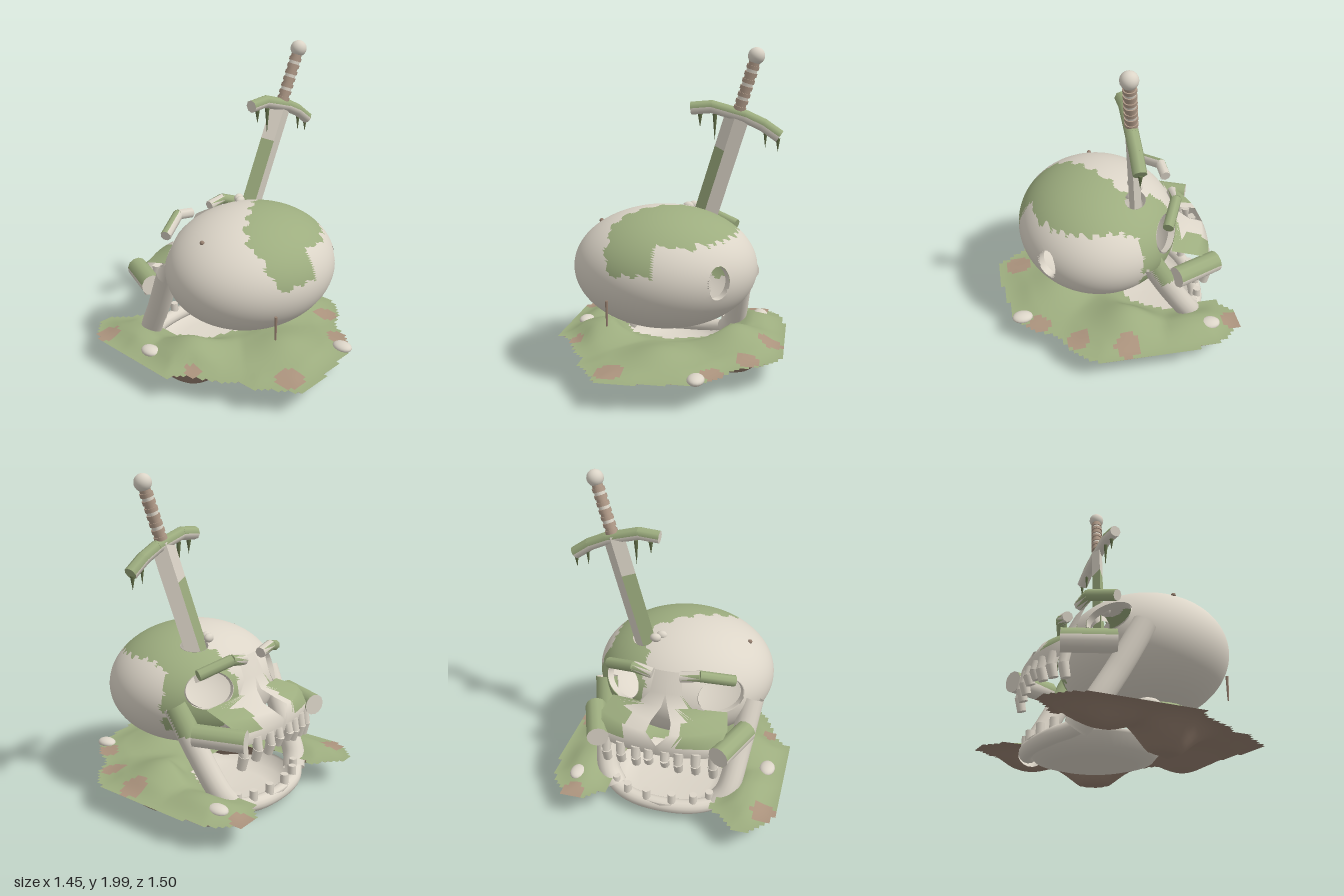
import * as THREE from 'three';
import { mergeGeometries } from 'three/addons/utils/BufferGeometryUtils.js';

const material = (name, color) => {
  const m = new THREE.MeshStandardMaterial({ color, side: THREE.DoubleSide });
  m.name = name;
  return m;
};
const V = (x, y, z) => new THREE.Vector3(x, y, z);

// Sorts triangles into material groups; pick(centroid, normal) gives an index, or -1 to drop the face
function paint(geo, pick) {
  const src = geo.index ? geo.toNonIndexed() : geo;
  const p = src.attributes.position, n = src.attributes.normal;
  const buckets = [];
  const c = V(), m = V(), t = V();
  for (let i = 0; i < p.count; i += 3) {
    c.set(0, 0, 0); m.set(0, 0, 0);
    for (let k = 0; k < 3; k++) {
      c.add(t.fromBufferAttribute(p, i + k));
      m.add(t.fromBufferAttribute(n, i + k));
    }
    const b = pick(c.divideScalar(3), m.normalize());
    if (b >= 0) (buckets[b] ??= []).push(i, i + 1, i + 2);
  }
  const out = new THREE.BufferGeometry(), pos = [], nor = [];
  buckets.forEach((list, b) => {
    out.addGroup(pos.length / 3, list.length, b);
    for (const i of list) {
      pos.push(p.getX(i), p.getY(i), p.getZ(i));
      nor.push(n.getX(i), n.getY(i), n.getZ(i));
    }
  });
  out.setAttribute('position', new THREE.Float32BufferAttribute(pos, 3));
  out.setAttribute('normal', new THREE.Float32BufferAttribute(nor, 3));
  return out;
}

// Chain of faceted cylinders through points
function bar(points, r, sides = 8, r2 = r) {
  return mergeGeometries(points.slice(1).map((b, i) => {
    const a = points[i], d = b.clone().sub(a), len = d.length();
    const g = new THREE.CylinderGeometry(r2, r, len + r * 0.3, sides);
    g.applyQuaternion(new THREE.Quaternion().setFromUnitVectors(V(0, 1, 0), d.normalize()));
    return g.translate(...a.clone().add(b).multiplyScalar(0.5).toArray());
  }));
}

function inside(poly, x, z) {
  let hit = false;
  for (let i = 0, j = poly.length - 1; i < poly.length; j = i++) {
    const [ax, az] = poly[i], [bx, bz] = poly[j];
    if ((az > z) !== (bz > z) && x < ((bx - ax) * (z - az)) / (bz - az) + ax) hit = !hit;
  }
  return hit;
}
function edgeDistance(poly, x, z) {
  return Math.min(...poly.map(([ax, az], i) => {
    const [bx, bz] = poly[(i + 1) % poly.length], dx = bx - ax, dz = bz - az;
    const t = THREE.MathUtils.clamp(((x - ax) * dx + (z - az) * dz) / (dx * dx + dz * dz), 0, 1);
    return Math.hypot(x - ax - t * dx, z - az - t * dz);
  }));
}

export function createModel() {
  const model = new THREE.Group();
  const bone = material('bone', 0xdcd5c8), moss = material('moss', 0x9dad7f);
  const soil = material('soil', 0x968070), clay = material('clay', 0xab937d);
  const leather = material('leather', 0xb09a88), vine = material('dark moss', 0x64714a);
  const add = (name, geo, mat, parent = model) => {
    const m = new THREE.Mesh(geo, mat);
    m.name = name;
    parent.add(m);
    return m;
  };
  const ball = (name, p, s, mat) => add(name, new THREE.SphereGeometry(1, 16, 12).scale(...s).translate(...p), mat);

  // Cranium: hollow ellipsoid with eye sockets, a temple hole and a sword hole
  const C = V(-0.01, 0.685, 0.095), R = V(0.562, 0.372, 0.5);
  const onSkull = (p) => {
    const d = p.clone().sub(C).divide(R).normalize();
    return d.multiply(R).add(C);
  };
  const holes = [
    [V(0.275, 0.765, -0.25), 0.15, 0.11], [V(-0.285, 0.765, -0.25), 0.15, 0.11],
    [V(0.365, 0.685, 0.46), 0.07, 0.1], [V(0.23, 1.0, -0.11), 0.085, 0.06],
  ].map(([p, ru, rv]) => {
    const c = onSkull(p), n = c.clone().sub(C).divide(R).divide(R).normalize();
    const u = V(0, 1, 0).cross(n).normalize();
    return { c, n, u, v: n.clone().cross(u), ru, rv };
  });
  const measure = (h, p) => {
    const w = p.clone().sub(h.c), a = w.dot(h.u), b = w.dot(h.v);
    return { a, b, d: w.dot(h.n) < -0.25 ? 9 : Math.hypot(a / h.ru, b / h.rv) };
  };
  const skull = new THREE.SphereGeometry(1, 128, 88).scale(R.x, R.y, R.z).translate(C.x, C.y, C.z);
  const sp = skull.attributes.position;
  for (let i = 0; i < sp.count; i++) {
    let p = V().fromBufferAttribute(sp, i);
    for (const h of holes) {
      const { a, b, d } = measure(h, p);
      if (d > 0.85 && d < 1.15) {
        p.addScaledVector(h.u, a * (1 / d - 1)).addScaledVector(h.v, b * (1 / d - 1));
        p = onSkull(p);
      }
    }
    sp.setXYZ(i, p.x, p.y, p.z);
  }
  const mossArea = [[0.14, -0.42], [0.18, -0.05], [0.13, 0.01], [-0.05, 0.13], [-0.25, 0.25], [-0.3, 0.38],
    [-0.25, 0.62], [0.2, 0.62], [0.42, 0.25], [0.42, 0.02], [0.52, -0.14], [0.48, -0.42]];
  add('cranium', paint(skull, (c) => {
    if (holes.some((h) => measure(h, c).d < 0.99)) return -1;
    const j = 0.012 * Math.sin(c.x * 60 + c.y * 45) + 0.01 * Math.sin(c.z * 83);
    const low = c.z < -0.08 ? 0.52 : c.x < 0 ? 0.73 : 0.885;
    return c.y + j > low && inside(mossArea, c.x + j, c.z + j) ? 1 : 0;
  }), [bone, moss]);

  // Bone thickness around each hole
  for (const h of holes) {
    const pos = [], idx = [], N = 40;
    for (let i = 0; i <= N; i++) {
      const t = (i / N) * Math.PI * 2;
      const p = onSkull(h.c.clone().addScaledVector(h.u, h.ru * Math.cos(t)).addScaledVector(h.v, h.rv * Math.sin(t)));
      pos.push(...p.toArray(), ...p.addScaledVector(h.n, -0.045).toArray());
      if (i < N) idx.push(2 * i, 2 * i + 1, 2 * i + 2, 2 * i + 1, 2 * i + 3, 2 * i + 2);
    }
    const rim = new THREE.BufferGeometry();
    rim.setAttribute('position', new THREE.Float32BufferAttribute(pos, 3));
    rim.setIndex(idx);
    rim.computeVertexNormals();
    add('holeRim', rim, bone);
  }

  // Upper jaw and nose bridge: rows of y, z, inner x, outer x, backward curve; the inner gap is the nose
  const rows = [[0.92, -0.33, 0, 0.08, 1], [0.8, -0.39, 0, 0.1, 1], [0.72, -0.42, 0.02, 0.16, 1.2],
    [0.67, -0.5, 0.06, 0.36, 1.5], [0.645, -0.58, 0.07, 0.39, 0.9], [0.58, -0.61, 0, 0.36, 0.5], [0.5, -0.595, 0, 0.32, 0.5]];
  for (const s of [-1, 1]) {
    const pos = [], idx = [], N = 16;
    rows.forEach(([y, z, a, b, k], r) => {
      for (let i = 0; i <= N; i++) {
        const x = a + ((b - a) * i) / N;
        pos.push(s * x, y, z + k * x * x);
        const q = r * (N + 1) + i;
        if (r && i) idx.push(q, q - 1, q - N - 2, q, q - N - 2, q - N - 1);
      }
    });
    if (s > 0) idx.reverse();
    const g = new THREE.BufferGeometry();
    g.setAttribute('position', new THREE.Float32BufferAttribute(pos, 3));
    g.setIndex(idx);
    g.computeVertexNormals();
    add('upperJaw', paint(g, (c) => ((c.x < -0.12 || c.x > 0.21) && c.y > 0.57 ? 1 : 0)), [bone, moss]);

    // Brow and cheekbone
    const brow = bar([V(s * 0.09, 0.92, -0.365), V(s * 0.2, 0.94, -0.36), V(s * 0.385, 0.88, -0.27)], 0.034);
    add('brow', paint(brow, (c, n) => (Math.abs(c.x) > 0.16 && (s > 0 || n.z < 0.3) ? 1 : 0)), [bone, moss]);
    const cheek = bar([V(s * 0.37, 0.555, -0.58), V(s * 0.475, 0.56, -0.32)], 0.066, 12);
    add('cheekbone', paint(cheek, (c, n) => (n.y > 0.1 ? 1 : 0)), [bone, moss]);

    // Upper teeth
    for (const [x, len] of [[0.33, 0.13], [0.23, 0.1], [0.13, 0.09], [0.05, 0.06]]) {
      const z = -0.59 + 0.5 * x * x;
      add('upperTooth', bar([V(s * x, 0.53, z), V(s * x, 0.52 - len * 0.6, z - 0.015), V(s * x, 0.5 - len, z)], 0.032, 8, 0.028), bone);
    }

    // Jaw branch from temple to chin, mossy near the left temple
    const branch = new THREE.CatmullRomCurve3([V(s * 0.47 - 0.015, 0.69, -0.15), V(s * 0.43 - 0.015, 0.42, -0.29),
      V(s * 0.385 - 0.015, 0.18, -0.43), V(s * 0.33 - 0.015, 0.1, -0.47)]);
    add('jawBranch', paint(new THREE.TubeGeometry(branch, 40, 0.07, 16), (c, n) => (c.x > 0 && c.y > 0.53 && n.z < 0.1 ? 1 : 0)), [bone, moss]);

    // Lower teeth
    for (const [x, z] of [[0.3, -0.49], [0.21, -0.54], [0.08, -0.565]]) {
      add('lowerTooth', bar([V(s * x, 0.09, z), V(s * x, 0.18, z)], 0.028, 8, 0.025), bone);
    }
  }

  // Chin arc and the shallow jaw floor
  const chin = new THREE.CatmullRomCurve3([[0.39, 0.17, -0.41], [0.33, 0.11, -0.475], [0.2, 0.09, -0.54], [0, 0.085, -0.565],
    [-0.2, 0.09, -0.54], [-0.33, 0.11, -0.475], [-0.39, 0.17, -0.41]].map(([x, y, z]) => V(x - 0.015, y, z)));
  add('chin', new THREE.TubeGeometry(chin, 48, 0.045, 14), bone);
  const bowl = [[0, 0.005], [0.24, 0.01], [0.33, 0.035], [0.385, 0.1], [0.38, 0.12]].map(([x, y]) => new THREE.Vector2(x, y));
  add('jawFloor', new THREE.LatheGeometry(bowl, 48).translate(-0.015, 0, -0.22), bone);

  // Ground: thin-edged lumpy sod with a stepped outline and an opening around the jaw
  const outline = [[-0.71, -0.6], [-0.6, -0.74], [-0.48, -0.74], [-0.33, -0.6], [-0.36, -0.3], [-0.25, -0.08], [0, 0],
    [0.23, -0.08], [0.35, -0.3], [0.32, -0.62], [0.45, -0.72], [0.57, -0.72], [0.7, -0.55], [0.73, -0.2], [0.73, 0.2],
    [0.6, 0.36], [0.46, 0.42], [0.35, 0.62], [0.2, 0.7], [0, 0.72], [-0.1, 0.745], [-0.3, 0.745], [-0.38, 0.6],
    [-0.46, 0.52], [-0.46, 0.42], [-0.55, 0.3], [-0.62, 0.15], [-0.73, 0.05], [-0.73, -0.35], [-0.71, -0.42]];
  const lumps = [[-0.41, -0.02, 1], [0.41, -0.02, 1], [0, 0.36, 0.62], [-0.5, -0.4, 0.45], [0.5, -0.4, 0.45]];
  const lump = (x, z, gain) => Math.min(1, gain * Math.max(...lumps.map(([a, b, k]) => k * Math.exp(-((x - a) ** 2 + (z - b) ** 2) / 0.04))));
  const spots = [[-0.65, -0.58, 0.075], [0.52, -0.68, 0.065], [0.64, 0.02, 0.075], [0.52, 0.3, 0.07],
    [0.35, 0.54, 0.075], [-0.24, 0.62, 0.085], [-0.58, 0.14, 0.05]];
  const cell = 1.5 / 56, snap = (v) => (Math.floor(v / cell) + 0.5) * cell;
  for (const top of [true, false]) {
    const g = new THREE.PlaneGeometry(1.5, 1.5, 56, 56).rotateX(top ? -Math.PI / 2 : Math.PI / 2);
    const p = g.attributes.position;
    for (let i = 0; i < p.count; i++) {
      const x = p.getX(i), z = p.getZ(i);
      const e = inside(outline, x, z) ? THREE.MathUtils.smoothstep(edgeDistance(outline, x, z), 0, 0.16) : 0;
      p.setY(i, 0.17 + e * (top ? 0.015 + 0.095 * lump(x, z, 1) : -0.025 - 0.145 * lump(x, z, 1.25)));
    }
    g.computeVertexNormals();
    add(top ? 'mossyGround' : 'groundUnderside', paint(g, (c) => {
      const x = snap(c.x), z = snap(c.z);
      if (!inside(outline, x, z)) return -1;
      return top && spots.some(([a, b, r]) => Math.hypot(x - a, z - b) < r) ? 1 : 0;
    }), [top ? moss : soil, clay]);
  }
  for (const [x, y, z] of [[-0.61, 0.195, -0.2], [0.54, 0.195, -0.53], [0.26, 0.18, 0.63]]) ball('stone', [x, y, z], [0.05, 0.03, 0.066], bone);

  // Sword, built along its own y axis with the guard at the origin
  const sword = new THREE.Group();
  sword.name = 'sword';
  const axis = V(0.3, 0.95, 0.11).normalize(), flat = V(0.97, 0, 0.24).normalize();
  flat.addScaledVector(axis, -flat.dot(axis)).normalize();
  sword.matrix.makeBasis(flat, axis, flat.clone().cross(axis)).setPosition(0.41, 1.61, -0.03);
  sword.matrix.decompose(sword.position, sword.quaternion, sword.scale);
  model.add(sword);
  const blade = new THREE.CylinderGeometry(0.078, 0.078, 0.88, 4, 40).toNonIndexed().scale(1, 1, 0.46).translate(0, -0.44, 0);
  blade.computeVertexNormals();
  add('blade', paint(blade, (c) => (c.x < 0 && c.y < -0.24 ? 1 : 0)), [bone, moss], sword);
  for (let i = 0; i < 14; i++) {
    const r = i % 2 ? 0.032 : 0.038;
    add('gripWrap', new THREE.CylinderGeometry(r, r, 0.023, 14).translate(0, 0.03 + i * 0.021, 0), i % 4 === 3 ? bone : leather, sword);
  }
  add('pommel', new THREE.SphereGeometry(0.05, 20, 14).translate(0, 0.35, 0), bone, sword);
  const guard = bar([V(0.13, 1.635, -0.03), V(0.25, 1.645, -0.03), V(0.45, 1.59, -0.025), V(0.56, 1.54, -0.025), V(0.655, 1.475, -0.025)], 0.039, 8);
  add('guard', paint(guard, (c, n) => (n.y > 0.15 || n.x > 0.6 ? 1 : 0)), [bone, moss]);

  // Hanging moss on the guard and the back of the cranium
  for (const [x, y, len, z] of [[0.18, 1.6, 0.08, -0.03], [0.27, 1.6, 0.16, -0.03], [0.575, 1.51, 0.11, -0.03], [0.65, 1.46, 0.08, -0.03]]) {
    add('mossDrip', new THREE.ConeGeometry(0.014, len, 8).rotateX(Math.PI).translate(x, y - len / 2, z), vine);
  }
  add('skullDrip', new THREE.CylinderGeometry(0.009, 0.005, 0.15, 8).translate(-0.27, 0.495, 0.525), soil);
  ball('knob', [-0.415, 0.945, 0.08], [0.014, 0.014, 0.014], soil);

  // Bone chips beside the blade
  for (const [x, y, z] of [[0.1, 1.02, -0.1], [0.13, 1.02, -0.14]]) ball('boneChip', [x, y, z], [0.035, 0.028, 0.025], bone);
  return model;
}
